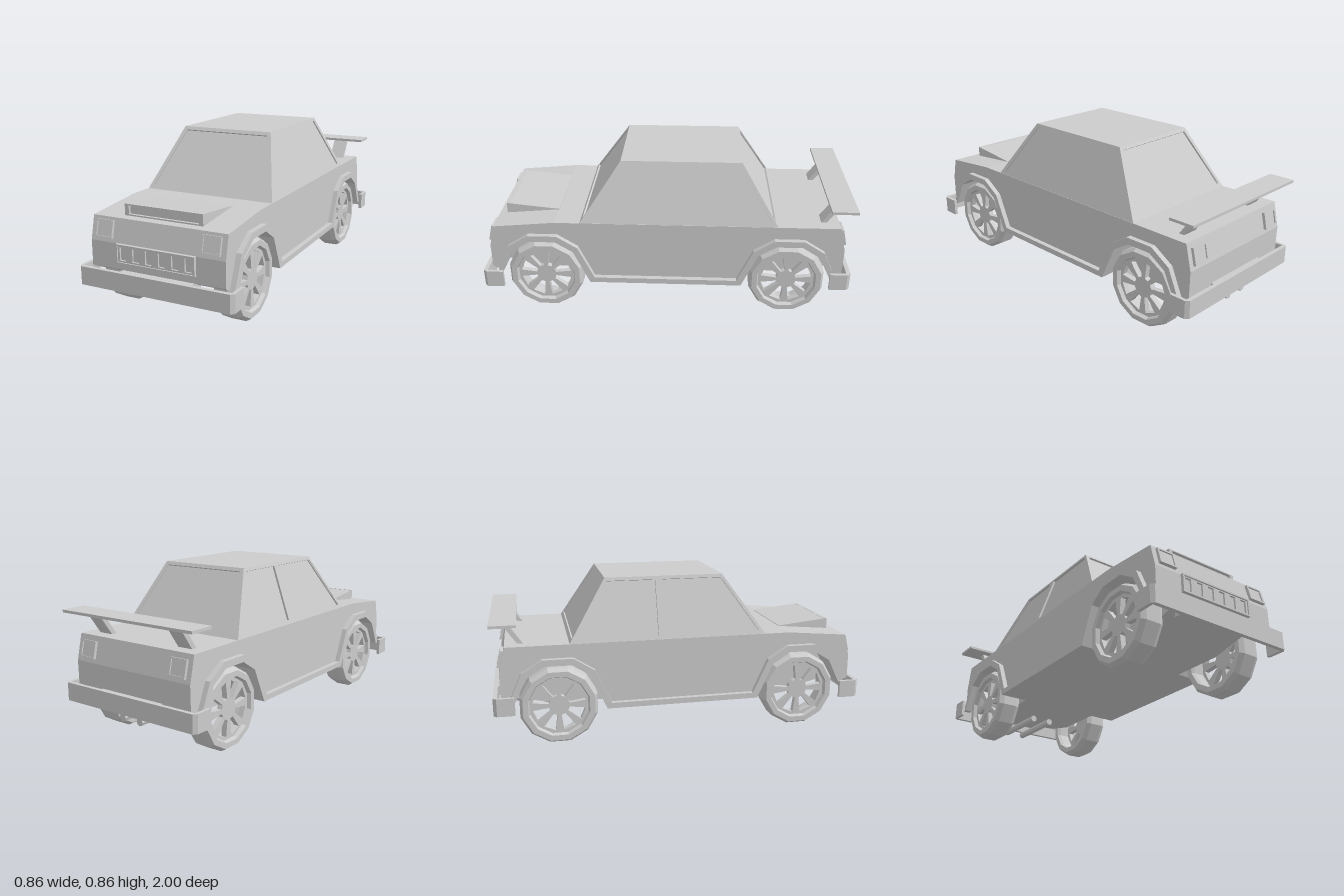
import * as THREE from 'three';

const material = new THREE.MeshStandardMaterial({ color: 0xcccccc, flatShading: true });

function add(parent, name, geometry, x = 0, y = 0, z = 0) {
  const mesh = new THREE.Mesh(geometry, material);
  mesh.name = name;
  mesh.position.set(x, y, z);
  parent.add(mesh);
  return mesh;
}
const vecs = (pts) => pts.map(([a, b]) => new THREE.Vector2(a, b));
const rect = (x0, y0, x1, y1) => [[x0, y0], [x1, y0], [x1, y1], [x0, y1]];

function extrude(pts, depth, holes = []) {
  const shape = new THREE.Shape(vecs(pts));
  shape.holes = holes.map((h) => new THREE.Path(vecs(h)));
  return new THREE.ExtrudeGeometry(shape, { depth, bevelEnabled: false });
}
// (z, y) outline extruded from x0 to x1
const sideExtrude = (pts, x0, x1) =>
  extrude(pts, x1 - x0).rotateY(-Math.PI / 2).translate(x1, 0, 0);

// Arch outlines as [offset from the axle towards the bumper, y]
const AXLE = 0.665;
const archInner = [[0.235, 0.225], [0.165, 0.37], [0.07, 0.43], [-0.07, 0.43], [-0.165, 0.37], [-0.25, 0.18]];
const archOuter = [[0.265, 0.225], [0.19, 0.395], [0.08, 0.465], [-0.08, 0.465], [-0.19, 0.395], [-0.275, 0.21]];
const frontArch = (pts) => pts.map(([d, y]) => [AXLE + d, y]);
const rearArch = (pts) => pts.map(([d, y]) => [-AXLE - d, y]).reverse();
const archLine = (pts) => [...frontArch(pts), ...rearArch(pts)];

// Cabin: sloped box between the belt line and the roof
const BELT = 0.535, ROOF = 0.855;
function cabinSlice(y0, y1, inset) {
  const g = new THREE.BoxGeometry(1, 1, 1);
  const p = g.attributes.position;
  for (let i = 0; i < p.count; i++) {
    const y = p.getY(i) > 0 ? y1 : y0;
    const t = (y - BELT) / (ROOF - BELT);
    const x = 0.37 - 0.11 * t - inset;
    const z = p.getZ(i) > 0 ? 0.46 - 0.22 * t - inset : -0.6 + 0.2 * t + inset;
    p.setXYZ(i, Math.sign(p.getX(i)) * x, y, z);
  }
  g.computeVertexNormals();
  return g;
}

// Sloped window frame; points are [position along u, world y]
function windowFrame(u, base, top, outline, holes) {
  const v = top.clone().sub(base).normalize();
  const n = u.clone().cross(v);
  const map = (pts) => pts.map(([s, y]) => [s, (y - BELT) / v.y]);
  const g = extrude(map(outline), 0.02, holes.map(map)).translate(0, 0, -0.02);
  return g.applyMatrix4(new THREE.Matrix4().makeBasis(u, v, n).setPosition(base));
}

function buildCabin(car) {
  const V = (x, y, z) => new THREE.Vector3(x, y, z);
  const cabin = new THREE.Group();
  cabin.name = 'cabin';
  car.add(cabin);
  add(cabin, 'windowGlass', cabinSlice(BELT, 0.85, 0.012));
  add(cabin, 'roof', cabinSlice(0.84, ROOF, 0));

  const endOutline = [[-0.37, BELT], [0.37, BELT], [0.26, ROOF], [-0.26, ROOF]];
  const endHole = [[-0.345, 0.555], [0.345, 0.555], [0.243, 0.838], [-0.243, 0.838]];
  add(cabin, 'windscreenFrame',
    windowFrame(V(1, 0, 0), V(0, BELT, 0.46), V(0, ROOF, 0.24), endOutline, [endHole]));
  add(cabin, 'rearWindowFrame',
    windowFrame(V(-1, 0, 0), V(0, BELT, -0.6), V(0, ROOF, -0.4), endOutline, [endHole]));

  const sideOutline = [[0.46, BELT], [0.24, ROOF], [-0.4, ROOF], [-0.6, BELT]];
  const frontHole = [[0.425, 0.555], [0.235, 0.838], [-0.09, 0.838], [-0.09, 0.555]];
  const rearHole = [[-0.13, 0.555], [-0.13, 0.838], [-0.388, 0.838], [-0.567, 0.555]];
  for (const s of [1, -1]) {
    const flip = (pts) => pts.map(([z, y]) => [-s * z, y]);
    add(cabin, s > 0 ? 'leftWindowFrame' : 'rightWindowFrame',
      windowFrame(V(0, 0, -s), V(s * 0.37, BELT, 0), V(s * 0.26, ROOF, 0),
        flip(sideOutline), [flip(frontHole), flip(rearHole)]));
  }
}

function buildBody(car) {
  const topLine = [[-0.96, 0.26], [-0.962, 0.4], [-0.93, 0.535], [0.6, 0.535], [0.93, 0.505], [0.958, 0.385], [0.958, 0.255]];
  // Middle section with the floor between the wheels
  add(car, 'bodyCentre', sideExtrude(
    [...topLine, [0.9, 0.225], [0.7, 0.18], [-0.7, 0.18], [-0.9, 0.225]], -0.24, 0.24));
  // Outer sections with wheel openings
  const side = [...topLine, ...archLine(archInner)];
  add(car, 'leftBodySide', sideExtrude(side, 0.24, 0.372));
  add(car, 'rightBodySide', sideExtrude(side, -0.372, -0.24));
  // Wheel arch flares joined by the sill
  const flare = [...archLine(archOuter), ...archLine(archInner).reverse()];
  add(car, 'leftFlareAndSill', sideExtrude(flare, 0.36, 0.4));
  add(car, 'rightFlareAndSill', sideExtrude(flare, -0.4, -0.36));
}

function buildWheel(car, name, side, z) {
  const wheel = new THREE.Group();
  wheel.name = name;
  const k = 1 / Math.cos(Math.PI / 12);
  // Chamfered twelve-sided tyre, closed profile of [radius, width]
  const profile = [[0.16, -0.065], [0.188, -0.065], [0.203, -0.04], [0.203, 0.04],
    [0.188, 0.065], [0.16, 0.065], [0.152, 0.045], [0.152, -0.045], [0.16, -0.065]];
  const tyre = new THREE.LatheGeometry(vecs(profile.map(([r, w]) => [r * k, w])), 12, Math.PI / 12);
  add(wheel, 'tyre', tyre.rotateZ(-Math.PI / 2));
  // Rim disc with eight wedge openings
  const polar = (r, a) => [r * Math.cos(a), r * Math.sin(a)];
  const disc = [], holes = [];
  for (let i = 0; i < 12; i++) disc.push(polar(0.158 * k, (i + 0.5) * Math.PI / 6));
  for (let i = 0; i < 8; i++) {
    const a = (i + 0.5) * Math.PI / 4;
    holes.push([polar(0.055, a - 0.2), polar(0.14, a - 0.24), polar(0.14, a + 0.24), polar(0.055, a + 0.2)]);
  }
  add(wheel, 'spokedRim', extrude(disc, 0.03, holes).rotateY(Math.PI / 2).translate(0.015, 0, 0));
  wheel.position.set(side * 0.315, 0.203, z);
  if (side < 0) wheel.rotation.y = Math.PI;
  car.add(wheel);
}

// Framed lamp facing +z
function lamp(parent, name, x, y, z, tilt) {
  const g = new THREE.Group();
  g.name = name;
  add(g, 'lampFrame', extrude(rect(-0.05, -0.045, 0.05, 0.045), 0.04, [rect(-0.04, -0.036, 0.04, 0.036)]), 0, 0, -0.028);
  add(g, 'lampLens', new THREE.BoxGeometry(0.084, 0.076, 0.03), 0, 0, -0.01);
  g.position.set(x, y, z);
  g.rotation.x = -tilt;
  parent.add(g);
}

// U-shaped bumper with mount, facing +z
function bumper(parent, name, bottom) {
  const half = [[0.43, 0.89], [0.43, 0.982], [0.414, 1]];
  const inner = [[0.412, 0.978], [0.412, 0.89]];
  const m = (pts) => pts.map(([x, z]) => [-x, z]).reverse();
  const g = extrude([...half, ...m(half), ...m(inner), ...inner], 0.095);
  add(parent, name, g.rotateX(Math.PI / 2), 0, bottom + 0.095, 0);
  add(parent, name + 'Mount', new THREE.BoxGeometry(0.4, 0.05, 0.1), 0, bottom + 0.066, 0.935);
}

export function createModel() {
  const car = new THREE.Group();
  car.name = 'car';
  buildBody(car);
  buildCabin(car);
  for (const s of [1, -1]) {
    const label = s > 0 ? 'left' : 'right';
    buildWheel(car, label + 'FrontWheel', s, AXLE);
    buildWheel(car, label + 'RearWheel', s, -AXLE);
  }

  // Front end
  bumper(car, 'frontBumper', 0.157);
  for (const s of [1, -1]) lamp(car, 'headlight', s * 0.295, 0.447, 0.947, 0.24);
  const slots = [];
  for (let i = 0; i < 6; i++) {
    const x = (i - 2.5) * 0.0725;
    slots.push(rect(x - 0.018, 0.305, x + 0.018, 0.372));
  }
  add(car, 'grille', extrude(rect(-0.21, 0.297, 0.21, 0.378), 0.02, slots), 0, 0, 0.948);
  add(car, 'grilleFrame', extrude(rect(-0.218, 0.29, 0.218, 0.387), 0.03,
    [rect(-0.21, 0.297, 0.21, 0.379)]), 0, 0, 0.945);

  // Bonnet scoop with recessed mouth
  add(car, 'scoop', sideExtrude([[0.872, 0.5], [0.872, 0.566], [0.594, 0.538], [0.594, 0.53]], -0.218, 0.218));
  add(car, 'scoopMouth', extrude(rect(-0.218, 0.505, 0.218, 0.567), 0.017,
    [rect(-0.195, 0.516, 0.195, 0.561)]), 0, 0, 0.87);

  // Rear end, built facing +z and turned round
  const rear = new THREE.Group();
  rear.name = 'rearEnd';
  rear.rotation.y = Math.PI;
  car.add(rear);
  bumper(rear, 'rearBumper', 0.188);
  for (const s of [1, -1]) {
    lamp(rear, 'tailLight', s * 0.295, 0.465, 0.95, 0.23);
    const strut = [[0.83, 0.53], [0.86, 0.53], [0.945, 0.65], [0.915, 0.65]];
    add(rear, 'spoilerStrut', sideExtrude(strut, s * 0.262 - 0.042, s * 0.262 + 0.042));
    add(rear, 'exhaustPipe', new THREE.CylinderGeometry(0.02, 0.02, 0.35, 8).rotateX(Math.PI / 2),
      s * 0.057, 0.16, 0.795);
  }
  add(rear, 'spoiler', new THREE.BoxGeometry(0.84, 0.014, 0.138), 0, 0.653, 0.931);
  return car;
}
